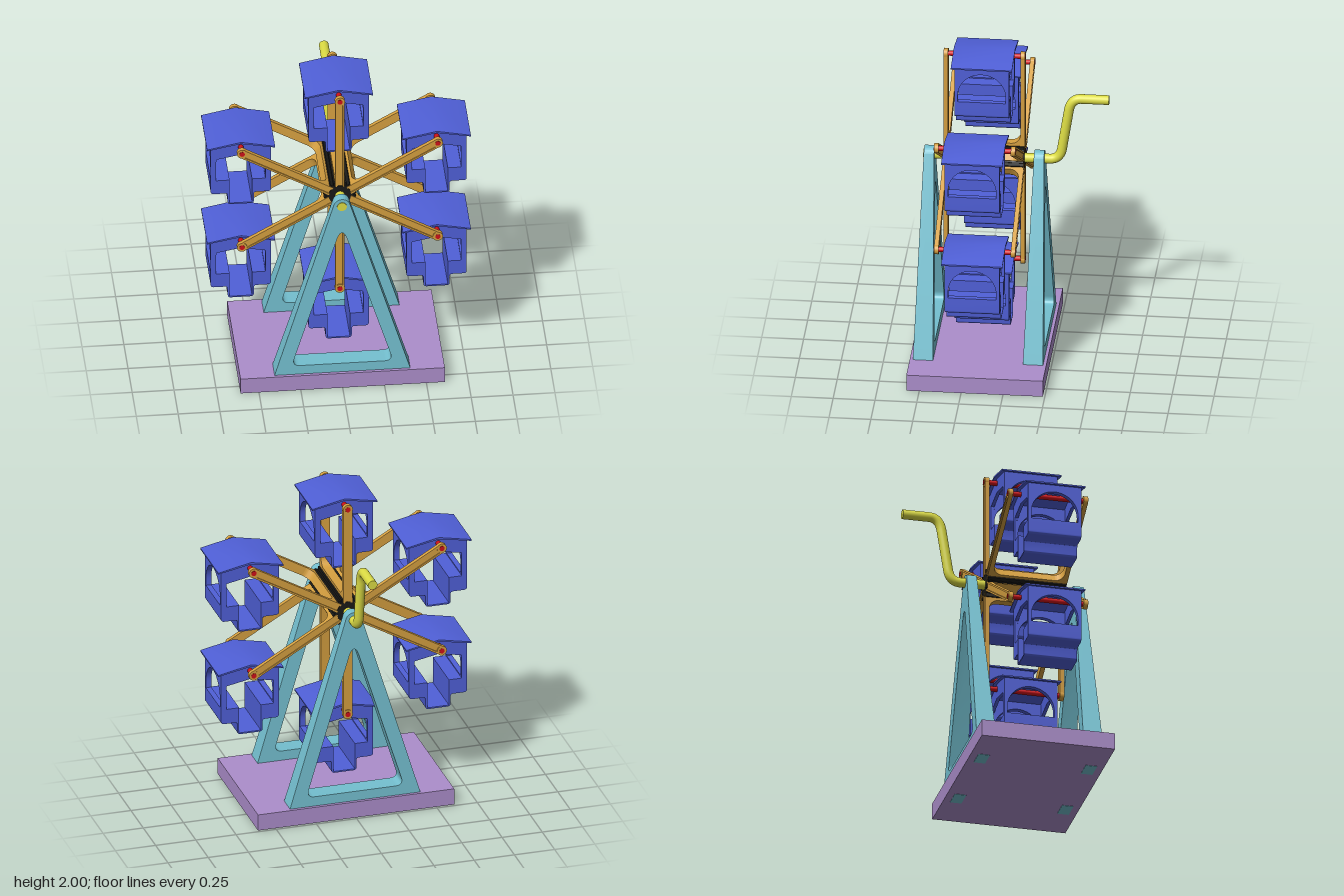
import * as THREE from 'three';
import { toCreasedNormals } from 'three/addons/utils/BufferGeometryUtils.js';

const mat = (name, color) => Object.assign(new THREE.MeshStandardMaterial({ color }), { name });

const HUB_Y = 1.28, MID_Z = 0.169, REACH = 0.675, ARMS = 6;

export function createModel() {
  const blue = mat('cabin blue', 0x5060d8);
  const ochre = mat('arm ochre', 0xd6a040);
  const teal = mat('support teal', 0x74c0d0);
  const purple = mat('base purple', 0xac8ecb);
  const yellow = mat('crank yellow', 0xdcdc44);
  const red = mat('pin red', 0xd01018);
  const black = mat('hub black', 0x1a1a18);

  const model = new THREE.Group();
  model.name = 'ferrisWheel';

  const add = (parent, name, geo, material, x = 0, y = 0, z = 0) => {
    const m = new THREE.Mesh(geo, material);
    m.name = name;
    m.position.set(x, y, z);
    parent.add(m);
    return m;
  };
  const poly = pts => new THREE.Shape(pts.map(p => new THREE.Vector2(...p)));
  // extrusion centred on its depth, with crisp edges and smooth curves
  const slab = (shape, depth) => {
    const g = new THREE.ExtrudeGeometry(shape, { depth, bevelEnabled: false, curveSegments: 12 });
    g.translate(0, 0, -depth / 2);
    return toCreasedNormals(g, 0.6);
  };
  const rod = (r, length, sides = 24) => new THREE.CylinderGeometry(r, r, length, sides).rotateX(Math.PI / 2);

  // base with feet of the supports showing through underneath
  add(model, 'base', new THREE.BoxGeometry(1.22, 0.103, 0.815), purple, 0, 0.0535, MID_Z);

  // A-frame supports, thinner towards the top
  const frame = new THREE.Shape();
  frame.moveTo(-0.405, 0.105);
  frame.lineTo(0.405, 0.105);
  frame.absarc(0, HUB_Y, 0.05, 0.29, Math.PI - 0.29, false);
  frame.closePath();
  const hole = new THREE.Path();
  hole.moveTo(-0.25, 0.165);
  hole.lineTo(0.25, 0.165);
  hole.quadraticCurveTo(0.305, 0.165, 0.286, 0.22);
  hole.lineTo(0.027, 1.06);
  hole.quadraticCurveTo(0, 1.125, -0.027, 1.06);
  hole.lineTo(-0.286, 0.22);
  hole.quadraticCurveTo(-0.305, 0.165, -0.25, 0.165);
  frame.holes.push(hole);
  const supportGeo = new THREE.ExtrudeGeometry(frame, { depth: 0.12, bevelEnabled: false, curveSegments: 16 });
  supportGeo.translate(0, 0, -0.06);
  const p = supportGeo.attributes.position;
  for (let i = 0; i < p.count; i++) p.setZ(i, p.getZ(i) * (1 - 0.5 * (p.getY(i) - 0.105) / 1.225));
  const support = toCreasedNormals(supportGeo, 0.5);
  for (const s of [1, -1]) {
    const z = MID_Z + s * 0.3285;
    add(model, s > 0 ? 'frontSupport' : 'backSupport', support, teal, 0, 0, z);
    for (const x of [-0.29, 0.29]) add(model, 'supportFoot', new THREE.BoxGeometry(0.12, 0.1, 0.07), teal, x, 0.05, z);
  }

  // axle bent into a crank handle at the back
  const v = (y, z) => new THREE.Vector3(0, y, z);
  const path = new THREE.CurvePath();
  path.add(new THREE.LineCurve3(v(1.28, 0.533), v(1.28, -0.22)));
  path.add(new THREE.QuadraticBezierCurve3(v(1.28, -0.22), v(1.28, -0.285), v(1.36, -0.295)));
  path.add(new THREE.LineCurve3(v(1.36, -0.295), v(1.6, -0.333)));
  path.add(new THREE.QuadraticBezierCurve3(v(1.6, -0.333), v(1.688, -0.345), v(1.688, -0.41)));
  path.add(new THREE.LineCurve3(v(1.688, -0.41), v(1.688, -0.575)));
  add(model, 'axleAndCrank', new THREE.TubeGeometry(path, 140, 0.029, 20), yellow);
  add(model, 'axleCap', new THREE.CircleGeometry(0.029, 20), yellow, 0, 1.28, 0.533);
  add(model, 'crankCap', new THREE.CircleGeometry(0.029, 20).rotateY(Math.PI), yellow, 0, 1.688, -0.575);

  // wheel
  const wheel = new THREE.Group();
  wheel.name = 'wheel';
  wheel.position.set(0, HUB_Y, MID_Z);
  model.add(wheel);
  add(wheel, 'hub', rod(0.068, 0.48), black);

  // U-shaped double arm: cross bar at the hub, one bar on each side
  const armGeo = (half, width) => {
    const inner = 0.216, f = 0.055, bar = 0.105;
    const s = new THREE.Shape();
    s.moveTo(-half, 0.062);
    s.lineTo(half, 0.062);
    s.lineTo(half, REACH);
    s.lineTo(inner, REACH);
    s.lineTo(inner, bar + f);
    s.absarc(inner - f, bar + f, f, 0, -Math.PI / 2, true);
    s.lineTo(-inner + f, bar);
    s.absarc(-inner + f, bar + f, f, -Math.PI / 2, -Math.PI, true);
    s.lineTo(-inner, REACH);
    s.lineTo(-half, REACH);
    return slab(s, width).rotateY(-Math.PI / 2);
  };
  const web = armGeo(0.236, 0.034), rail = armGeo(0.243, 0.011);
  for (let i = 0; i < ARMS; i++) {
    const arm = new THREE.Group();
    arm.name = 'arm';
    arm.rotation.z = i * Math.PI * 2 / ARMS;
    wheel.add(arm);
    add(arm, 'armWeb', web, ochre);
    for (const s of [-1, 1]) {
      add(arm, 'armRail', rail, ochre, s * 0.0225);
      add(arm, 'armBoss', rod(0.03, 0.027), ochre, 0, REACH, s * 0.2295);
      add(arm, 'hubRib', new THREE.BoxGeometry(0.01, 0.045, 0.48), black, s * 0.034, 0.066);
    }
    add(arm, 'pin', rod(0.016, 0.49, 18), red, 0, REACH);
  }

  // cabin parts, measured from the hanging pin
  const roof = slab(poly([[-0.203, -0.006], [0, 0.033], [0.203, -0.006], [0.203, 0.003], [0, 0.045], [-0.203, 0.003]]), 0.365);
  const gable = slab(poly([[-0.18, -0.1], [-0.146, -0.1], [-0.146, -0.085], [0, -0.057],
    [0.146, -0.085], [0.146, -0.1], [0.18, -0.1], [0.18, 0], [0, 0.036], [-0.18, 0]]), 0.02);

  // benches and foot well
  const tub = new THREE.Shape();
  tub.moveTo(-0.18, -0.237);
  tub.lineTo(-0.18, -0.312);
  tub.quadraticCurveTo(-0.18, -0.332, -0.16, -0.332);
  tub.lineTo(-0.095, -0.332);
  tub.quadraticCurveTo(-0.078, -0.332, -0.078, -0.348);
  tub.lineTo(-0.078, -0.392);
  tub.quadraticCurveTo(-0.078, -0.412, -0.058, -0.412);
  tub.lineTo(0.058, -0.412);
  tub.quadraticCurveTo(0.078, -0.412, 0.078, -0.392);
  tub.lineTo(0.078, -0.348);
  tub.quadraticCurveTo(0.078, -0.332, 0.095, -0.332);
  tub.lineTo(0.16, -0.332);
  tub.quadraticCurveTo(0.18, -0.332, 0.18, -0.312);
  tub.lineTo(0.18, -0.237);
  for (const q of [[0.067, -0.237], [0.067, -0.403], [-0.067, -0.403], [-0.067, -0.237]]) tub.lineTo(...q);
  const tubGeo = slab(tub, 0.326);

  // side wall with an arched window
  const wall = poly([[-0.163, -0.24], [0.163, -0.24], [0.163, 0], [-0.163, 0]]);
  const arch = new THREE.Path();
  arch.moveTo(-0.143, -0.23);
  arch.lineTo(0.143, -0.23);
  arch.absarc(0, -0.188, 0.143, 0, Math.PI, false);
  arch.closePath();
  wall.holes.push(arch);
  const wallGeo = slab(wall, 0.033).rotateY(-Math.PI / 2);

  for (let i = 0; i < ARMS; i++) {
    const a = i * Math.PI * 2 / ARMS;
    const cabin = new THREE.Group();
    cabin.name = 'cabin';
    cabin.position.set(Math.sin(a) * REACH, Math.cos(a) * REACH, 0);
    wheel.add(cabin);
    add(cabin, 'roof', roof, blue);
    add(cabin, 'benches', tubGeo, blue);
    for (const s of [-1, 1]) {
      add(cabin, 'sideWall', wallGeo, blue, s * 0.1635);
      add(cabin, 'gable', gable, blue, 0, 0, s * 0.153);
    }
  }
  return model;
}
